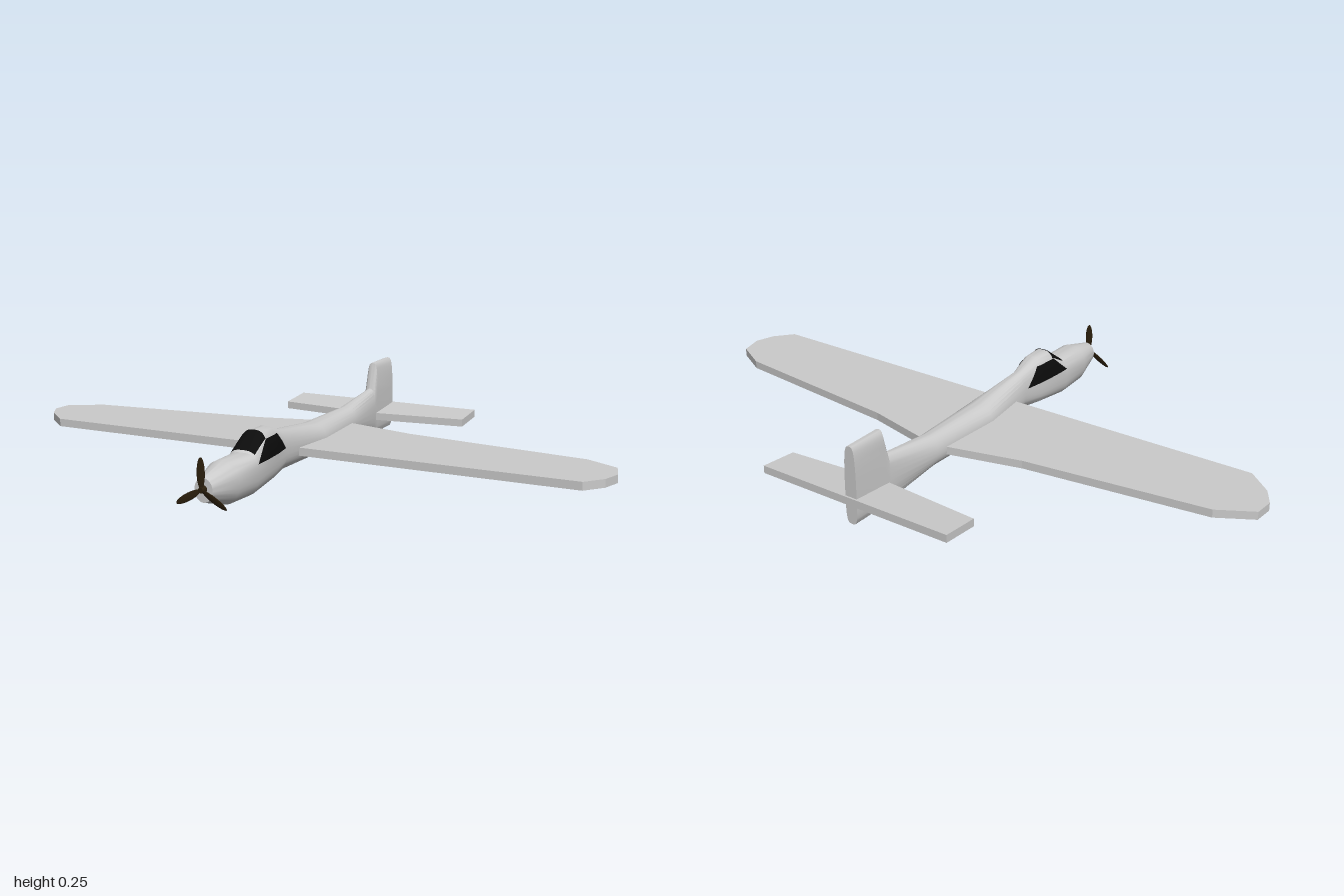
import * as THREE from 'three';
import { toCreasedNormals } from 'three/addons/utils/BufferGeometryUtils.js';

const CX = -0.008; // fuselage centre line
const grey = new THREE.MeshStandardMaterial({ color: 0xcccccc });
const glass = new THREE.MeshStandardMaterial({ color: 0x0c0c0c, side: THREE.DoubleSide });
const wood = new THREE.MeshStandardMaterial({ color: 0x2a1e0c });

// fuselage stations: z, bottom, top, half width, height of widest point, squareness
const stations = [
  [0.64, 0.046, 0.118, 0.03, 0.082, 2],
  [0.535, 0.014, 0.144, 0.056, 0.085, 2.3],
  [0.42, 0.012, 0.142, 0.055, 0.085, 2.8],
  [0.35, 0.02, 0.194, 0.051, 0.09, 2.8],
  [0.28, 0.028, 0.194, 0.045, 0.09, 2.8],
  [0.2, 0.038, 0.168, 0.032, 0.09, 2.5],
  [-0.03, 0.038, 0.142, 0.06, 0.085, 2.1],
  [-0.295, 0.038, 0.142, 0.042, 0.085, 2.1],
  [-0.5, 0.004, 0.168, 0.022, 0.085, 2.6],
  [-0.523, 0.003, 0.256, 0.021, 0.085, 3.5],
  [-0.655, 0.003, 0.256, 0.021, 0.085, 3.5],
];

// interpolated station at any z
function stationAt(z) {
  let i = 0;
  while (i < stations.length - 2 && stations[i + 1][0] > z) i++;
  const a = stations[i], b = stations[i + 1];
  const t = (a[0] - z) / (a[0] - b[0]);
  return a.map((v, k) => v + (b[k] - v) * t);
}
function halfWidthAt(z, y) {
  const [, , top, w, mid, n] = stationAt(z);
  return w * Math.pow(Math.max(0, 1 - Math.pow(Math.abs(y - mid) / (top - mid), n)), 1 / n);
}
function topAt(z, x) {
  const [, , top, w, mid, n] = stationAt(z);
  return mid + (top - mid) * Math.pow(Math.max(0, 1 - Math.pow(Math.abs(x) / w, n)), 1 / n);
}

// skin over superellipse rings, with end caps
function fuselageGeometry(sides = 32) {
  const pos = [], idx = [], rings = stations.length;
  const power = (v, n) => Math.sign(v) * Math.pow(Math.abs(v), 2 / n);
  for (const [z, bottom, top, w, mid, n] of stations) {
    for (let j = 0; j < sides; j++) {
      const a = (j / sides) * Math.PI * 2, s = power(Math.sin(a), n);
      pos.push(CX + w * power(Math.cos(a), n), mid + s * (s > 0 ? top - mid : mid - bottom), z);
    }
  }
  const front = rings * sides, back = front + 1, end = (rings - 1) * sides;
  pos.push(CX, 0.082, stations[0][0], CX, 0.085, stations[rings - 1][0]);
  for (let j = 0; j < sides; j++) {
    const k = (j + 1) % sides;
    for (let i = 0; i < rings - 1; i++) {
      const a = i * sides + j, b = i * sides + k;
      idx.push(a, a + sides, b, b, a + sides, b + sides);
    }
    idx.push(front, j, k, back, end + k, end + j);
  }
  const g = new THREE.BufferGeometry();
  g.setAttribute('position', new THREE.Float32BufferAttribute(pos, 3));
  g.setIndex(idx);
  return toCreasedNormals(g, 0.5);
}

// grid surface from a point function of (u, v)
function panel(nu, nv, point) {
  const g = new THREE.PlaneGeometry(1, 1, nu, nv), p = g.attributes.position;
  for (let i = 0; i < p.count; i++) p.setXYZ(i, ...point(p.getX(i) + 0.5, p.getY(i) + 0.5));
  g.computeVertexNormals();
  return g;
}

// flat plate from an outline of [x, z], between two heights
function plate(outline, bottom, top) {
  const shape = new THREE.Shape(outline.map(([x, z]) => new THREE.Vector2(x, z)));
  const g = new THREE.ExtrudeGeometry(shape, { depth: top - bottom, bevelEnabled: false });
  return g.rotateX(Math.PI / 2).translate(0, top, 0);
}

export function createModel() {
  const model = new THREE.Group();
  const add = (name, geometry, material, parent = model) => {
    const mesh = new THREE.Mesh(geometry, material);
    mesh.name = name;
    parent.add(mesh);
    return mesh;
  };

  add('fuselageAndFin', fuselageGeometry(), grey);

  add('wing', plate([
    [-0.885, 0.13], [0.93, 0.13], [0.98, 0.07], [1, 0.005], [0.98, -0.07], [0.875, -0.128],
    [0.27, -0.198], [0.035, -0.257], [-0.05, -0.257], [-0.29, -0.198], [-0.885, -0.128],
    [-0.995, -0.065], [-1, 0], [-0.965, 0.06],
  ], 0.071, 0.097), grey);

  // tailplane, pitched a little nose down
  const tail = plate([
    [-0.353, -0.535], [CX - 0.02, -0.508], [CX + 0.02, -0.508], [0.327, -0.535],
    [0.327, -0.662], [-0.353, -0.662],
  ], 0.055, 0.08);
  const p = tail.attributes.position;
  for (let i = 0; i < p.count; i++) p.setY(i, p.getY(i) - 0.08 * (p.getZ(i) + 0.508));
  tail.computeVertexNormals();
  add('tailplane', tail, grey);

  // cockpit glass, laid just outside the fuselage skin
  for (const side of [-1, 1]) {
    add(side > 0 ? 'leftWindow' : 'rightWindow', panel(36, 8, (u, v) => {
      const z = 0.418 - u * 0.211;
      const upper = 0.112 + 0.06 * Math.min(1, (0.418 - z) / 0.068, (z - 0.207) / 0.056);
      const y = 0.112 + v * (upper - 0.112);
      return [CX + side * (halfWidthAt(z, y) + 0.002), y, z];
    }), glass);
  }
  add('windscreen', panel(16, 8, (u, v) => {
    const x = (u - 0.5) * 0.08, z = 0.414 - v * 0.068;
    return [CX + x, topAt(z, x) + 0.002, z + 0.001];
  }), glass);

  // propeller
  const propeller = new THREE.Group();
  propeller.name = 'propeller';
  propeller.position.set(CX, 0.086, 0.653);
  model.add(propeller);
  add('hub', new THREE.CylinderGeometry(0.008, 0.012, 0.018, 16).rotateX(Math.PI / 2).translate(0, 0, -0.005), wood, propeller);
  for (let i = 0; i < 3; i++) {
    const blade = new THREE.SphereGeometry(1, 12, 12).scale(0.012, 0.046, 0.0025);
    blade.rotateY(0.25).translate(0, 0.049, 0).rotateZ((i * Math.PI * 2) / 3);
    add('blade', blade, wood, propeller);
  }
  return model;
}
